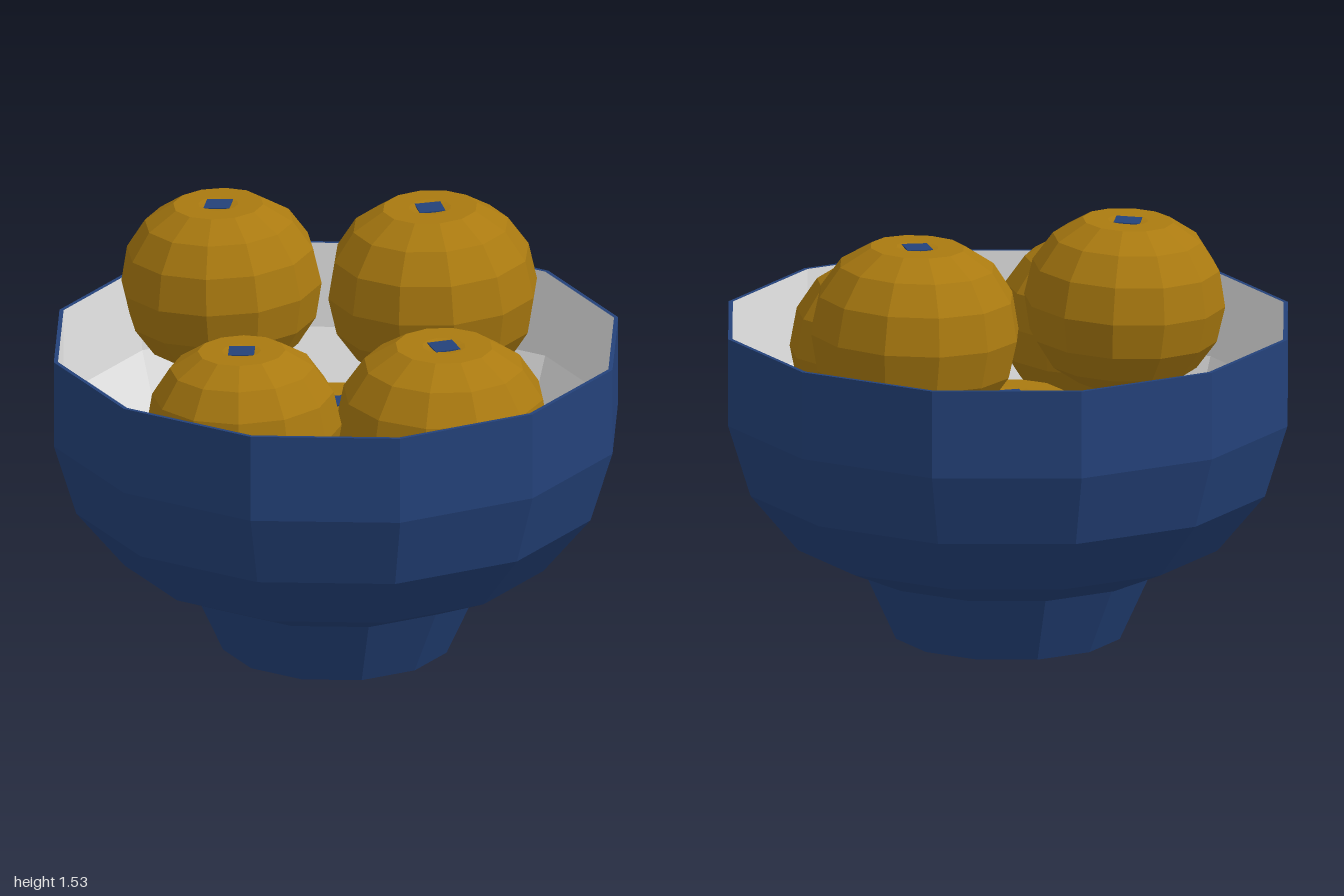
import * as THREE from 'three';

const mat = (name, color) => {
  const m = new THREE.MeshStandardMaterial({ color, flatShading: true });
  m.name = name;
  return m;
};

// Faceted solid of revolution from [radius, height] pairs, listed bottom to top for an outer face
function lathe(name, points, sides, material) {
  const profile = points.map(([r, y]) => new THREE.Vector2(r, y));
  const mesh = new THREE.Mesh(new THREE.LatheGeometry(profile, sides), material);
  mesh.name = name;
  return mesh;
}

export function createModel() {
  const navy = mat('navy glaze', 0x24427a);
  const white = mat('white glaze', 0xe8e8e8);
  const orange = mat('orange peel', 0xaa7a10);
  const model = new THREE.Group();
  model.name = 'fruitBowl';

  // Bowl: foot, outer wall with rim, and white lining
  const bowl = new THREE.Group();
  bowl.name = 'bowl';
  bowl.add(
    lathe('foot', [[0, 0], [0.4, 0], [0.51, 0.24]], 12, navy),
    lathe('outerWall', [[0.5, 0.24], [0.52, 0.24], [0.75, 0.34], [0.92, 0.545], [1, 0.8], [1, 1.11], [0.985, 1.11]], 12, navy),
    lathe('lining', [[0.985, 1.11], [0.985, 0.8], [0.907, 0.55], [0.74, 0.35], [0.51, 0.255], [0, 0.255]], 12, white)
  );
  model.add(bowl);

  // Fruit: unit profile, slightly squashed and dimpled at both ends
  const half = [[1, 0], [0.93, 0.36], [0.74, 0.64], [0.45, 0.82], [0.2, 0.82], [0, 0.79]];
  const profile = [...half.slice(1).reverse().map(([r, y]) => [r, -y]), ...half];

  // x, top height, z, radius, stem turn, tilt about x, tilt about z
  const fruits = [
    [-0.445, 1.53, -0.1, 0.35, 0.15, 0, 0.04],
    [0.215, 1.472, -0.435, 0.368, 0.5, 0, 0.03],
    [0.462, 1.232, 0.242, 0.376, 0.65, 0.03, -0.02],
    [-0.155, 1.262, 0.575, 0.338, 0.25, 0, 0.03],
    [-0.02, 0.87, -0.05, 0.41, 0.55, 0, 0],
  ];
  fruits.forEach(([x, top, z, r, turn, tiltX, tiltZ], i) => {
    const fruit = new THREE.Group();
    fruit.name = `orange${i + 1}`;
    const body = lathe('peel', profile, 12, orange);
    body.scale.setScalar(r);
    // Small square stem end lying in the dimple
    const stem = new THREE.Mesh(new THREE.BoxGeometry(0.09, 0.008, 0.09), navy);
    stem.name = 'stemEnd';
    stem.position.y = 0.81 * r;
    fruit.add(body, stem);
    fruit.position.set(x, top - 0.83 * r, z);
    fruit.rotation.set(tiltX, turn, tiltZ);
    model.add(fruit);
  });

  return model;
}
